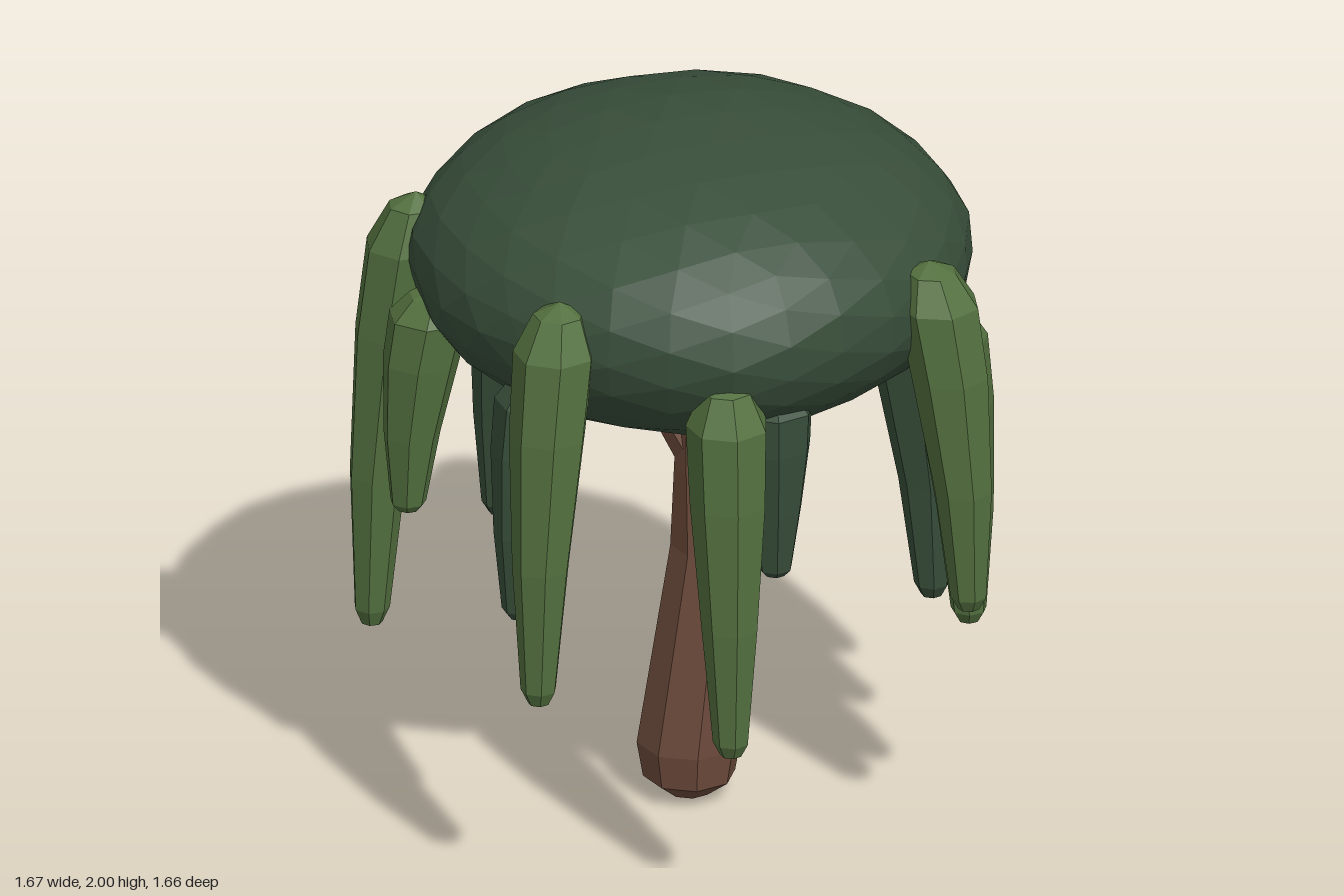
import * as THREE from 'three';

const paint = (name, color) => {
  const m = new THREE.MeshStandardMaterial({ color });
  m.name = name;
  return m;
};

// Faceted loft through horizontal rings [x, y, z, radius], listed bottom to top
function loft(rings, sides, turn = 0) {
  const pos = [], index = [];
  rings.forEach(([x, y, z, r], i) => {
    for (let j = 0; j < sides; j++) {
      const t = turn + (j / sides) * Math.PI * 2;
      pos.push(x + r * Math.cos(t), y, z + r * Math.sin(t));
      if (i === rings.length - 1) continue;
      const a = i * sides + j, b = i * sides + ((j + 1) % sides);
      if (rings[i + 1][3] > 0) index.push(a, a + sides, b + sides);
      if (r > 0) index.push(a, b + sides, b);
    }
  });
  const g = new THREE.BufferGeometry();
  g.setAttribute('position', new THREE.Float32BufferAttribute(pos, 3));
  g.setIndex(index);
  const flat = g.toNonIndexed();
  flat.computeVertexNormals();
  return flat;
}

export function createModel() {
  const tree = new THREE.Group();
  tree.name = 'weepingTree';
  const bark = paint('bark brown', 0x6e4c3c);
  const dark = paint('deep leaf green', 0x384e3a);
  const light = paint('light leaf green', 0x53703f);
  const add = (name, geometry, material) => {
    const mesh = new THREE.Mesh(geometry, material);
    mesh.name = name;
    tree.add(mesh);
  };

  // Bent trunk with a rounded foot, forking under the crown
  add('trunk', loft([
    [0, 0, 0.01, 0], [0, 0.01, 0.01, 0.06], [0, 0.06, 0.01, 0.125], [0, 0.16, 0.01, 0.142],
    [0.06, 0.74, 0.03, 0.115], [0.03, 0.98, 0.04, 0.08], [0.02, 1.1, 0.04, 0.065], [0.02, 1.25, 0.04, 0.05],
  ], 8, 0.2), bark);
  add('leftBranch', loft([[0.04, 0.98, 0.04, 0.06], [0.08, 1.09, 0.06, 0.06], [0.22, 1.25, 0.1, 0.06]], 6), bark);
  add('rightBranch', loft([[0.01, 1.0, 0.03, 0.055], [-0.05, 1.12, 0, 0.05], [-0.15, 1.27, -0.05, 0.045]], 6), bark);

  // Flattened crown with gently uneven facets
  const crown = new THREE.IcosahedronGeometry(1, 4);
  const p = crown.attributes.position, v = new THREE.Vector3();
  for (let i = 0; i < p.count; i++) {
    v.fromBufferAttribute(p, i);
    const k = 1 + 0.012 * Math.sin(7 * v.x + 3 * v.z) * Math.cos(6 * v.z - 4 * v.y);
    p.setXYZ(i, v.x * 0.757 * k + 0.005, 1.595 + v.y * 0.405 * Math.min(k, 1), v.z * 0.757 * k + 0.01);
  }
  crown.computeVertexNormals();
  add('crown', crown, dark);

  // Hanging strands: tip x, tip z, tip height, top height, radial scale at the top
  const strand = (name, material, [x, z, low, high, lean], width, turn) => {
    const at = (t, r) => {
      const y = low + (high - low) * t;
      const s = 1 + (lean - 1) * t * t;
      return [x * s, y, z * s, r * width];
    };
    add(name, loft([
      at(0, 0), at(0.005, 0.03), at(0.04, 0.05), at(0.35, 0.08),
      at(0.68, 0.108), at(0.88, 0.115), at(0.97, 0.07), at(1, 0),
    ], 7, turn), material);
  };

  [
    [-0.64, 0.56, 0.61, 1.75, 0.86],
    [0.54, 0.69, 0.75, 1.75, 0.86],
    [0.36, -0.76, 0.9, 1.75, 0.87],
    [-0.77, -0.35, 0.47, 1.75, 0.86],
    [0.62, 0.48, 0.61, 1.55, 0.9],
    [-0.17, 0.77, 0.47, 1.55, 0.9],
    [0.77, -0.17, 0.61, 1.55, 0.9],
    [-0.17, -0.73, 0.75, 1.55, 0.91],
    [-0.75, -0.13, 0.9, 1.55, 0.9],
  ].forEach((s, i) => strand('lightStrand' + (i + 1), light, s, 0.98, i * 0.7));

  [
    [0.69, 0.02, 0.47, 1.46, 0.83],
    [0.43, -0.52, 0.47, 1.46, 0.72],
    [-0.31, -0.6, 0.61, 1.46, 0.9],
    [-0.6, 0.31, 0.75, 1.46, 0.88],
    [0.02, 0.6, 0.9, 1.46, 0.98],
  ].forEach((s, i) => strand('darkStrand' + (i + 1), dark, s, 0.95, i * 0.9));

  return tree;
}
